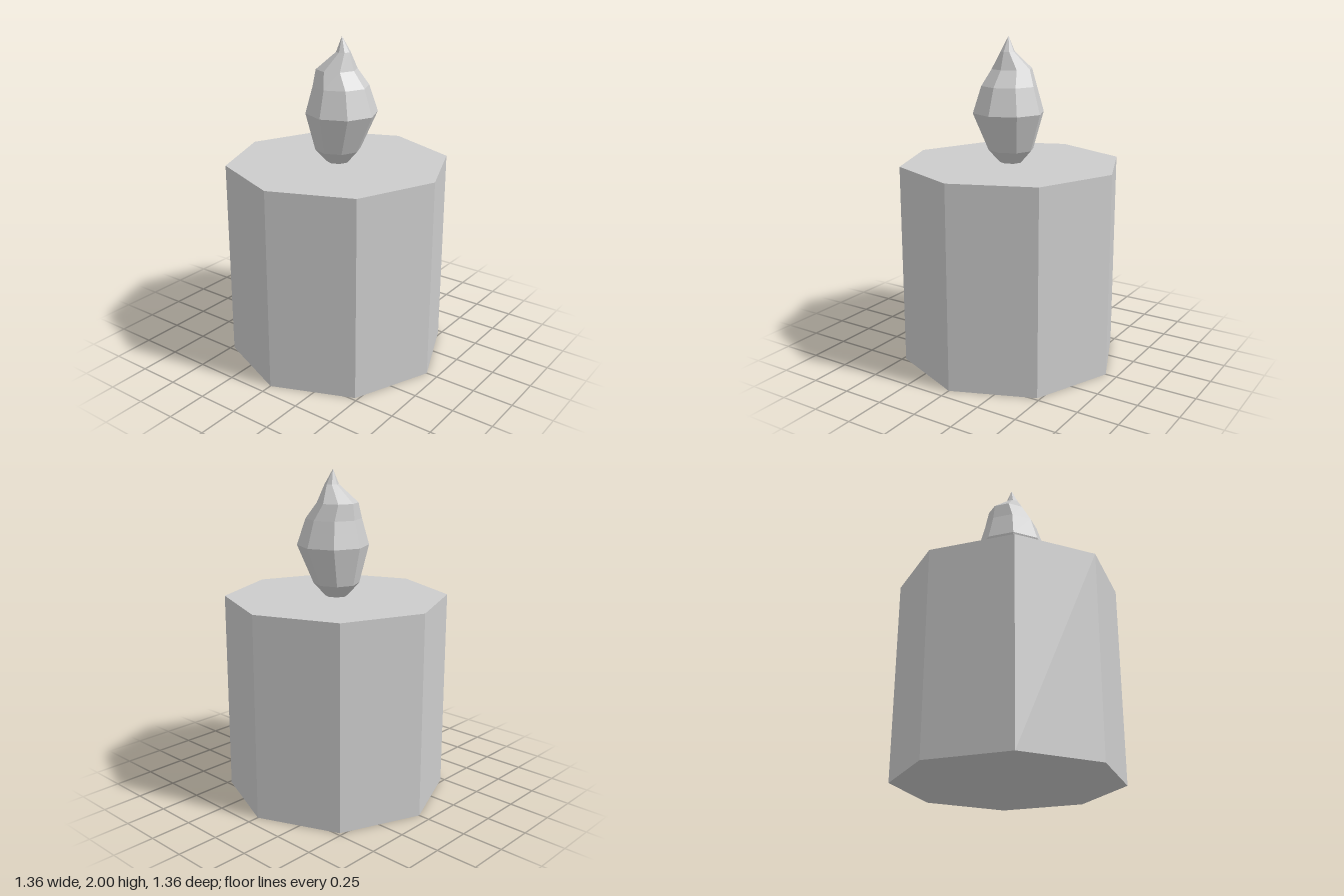
import * as THREE from 'three';

const SIDES = 8;

// Stack of octagonal rings [y, radius, zOffset], made from a bent cylinder
function ringStack(rings) {
  const geo = new THREE.CylinderGeometry(1, 1, 1, SIDES, rings.length - 1, true);
  const pos = geo.attributes.position;
  const perRow = SIDES + 1;
  for (let i = 0; i < pos.count; i++) {
    // cylinder rows run from the top down
    const [y, r, z] = rings[rings.length - 1 - Math.floor(i / perRow)];
    pos.setXYZ(i, pos.getX(i) * r, y, pos.getZ(i) * r + z);
  }
  geo.computeVertexNormals();
  return geo;
}

export function createModel() {
  const group = new THREE.Group();
  const material = new THREE.MeshStandardMaterial({ color: 0xcccccc, flatShading: true });

  // Wax body: closed octagonal prism with corners on the axes
  const height = 1.242;
  const wax = new THREE.Mesh(new THREE.CylinderGeometry(0.68, 0.68, height, SIDES), material);
  wax.name = 'waxBody';
  wax.position.y = height / 2;
  group.add(wax);

  // Flame: swells, sways backwards, then flicks forward to a point
  const flame = new THREE.Mesh(ringStack([
    [1.242, 0.068, 0],
    [1.32, 0.139, 0],
    [1.55, 0.218, 0.028],
    [1.71, 0.169, 0.022],
    [1.806, 0.124, -0.01],
    [1.91, 0.043, 0.038],
    [2.0, 0, 0.028],
  ]), material);
  flame.name = 'flame';
  group.add(flame);

  return group;
}
